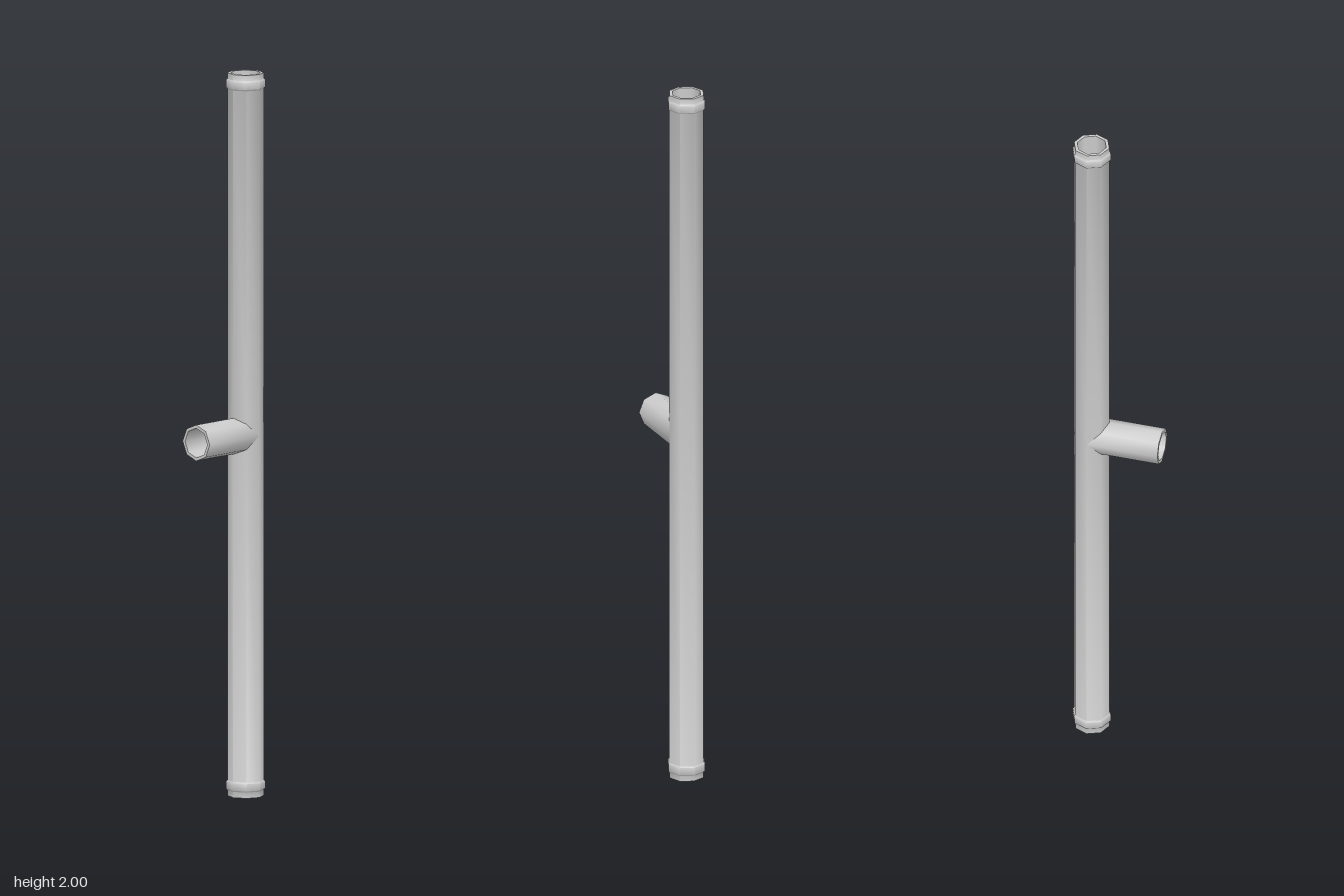
import * as THREE from 'three';
import { mergeGeometries, toCreasedNormals } from 'three/addons/utils/BufferGeometryUtils.js';

const SIDES = 8;
const CX = 0.073;                          // axis of the upright pipe
const MID = 1;                             // height of the branch axis
const OUTER = 0.05, INNER = 0.041, BEAD = 0.054;
const BRANCH_END = -0.127;

// Skin a closed eight-sided loft; point(angle, row) gives each corner.
function loft(rows, point) {
  const position = [];
  const index = [];
  for (let k = 0; k < SIDES; k++) {
    for (let j = 0; j < rows; j++) {
      position.push(...point((k / SIDES) * Math.PI * 2, j));
      if (j === rows - 1) continue;
      const a = k * rows + j;
      const d = ((k + 1) % SIDES) * rows + j;
      index.push(a, a + 1, d + 1, a, d + 1, d);
    }
  }
  const g = new THREE.BufferGeometry();
  g.setAttribute('position', new THREE.Float32BufferAttribute(position, 3));
  g.setIndex(index);
  return g;
}

// Half of the upright pipe: wall profile with a bead near the open end.
// The inner end of each column stops at the opening for the branch.
function halfPipe(top) {
  const profile = [
    [INNER, MID], [INNER, 0], [OUTER, 0],
    [OUTER, 0.016], [BEAD, 0.02], [BEAD, 0.04], [OUTER, 0.044],
    [OUTER, MID],
  ];
  if (top) profile.reverse();
  return loft(profile.length, (t, j) => {
    const [r, h] = profile[j];
    const gap = h === MID ? r * Math.max(0, -Math.cos(t)) : 0;
    const y = h - gap;
    return [CX + r * Math.cos(t), top ? 2 * MID - y : y, r * Math.sin(t)];
  });
}

// Side branch, mitred onto the upright pipe inside and out.
function branchPipe() {
  const profile = [[OUTER, true], [OUTER, false], [INNER, false], [INNER, true]];
  return loft(profile.length, (t, j) => {
    const [r, joint] = profile[j];
    const x = joint ? CX - r * Math.abs(Math.sin(t)) : BRANCH_END;
    return [x, MID - r * Math.sin(t), r * Math.cos(t)];
  });
}

export function createModel() {
  const group = new THREE.Group();
  group.name = 'teePipe';
  const material = new THREE.MeshStandardMaterial({ color: 0xcccccc });
  const add = (name, geometry) => {
    const mesh = new THREE.Mesh(toCreasedNormals(geometry, 0.85), material);
    mesh.name = name;
    group.add(mesh);
  };
  add('uprightPipe', mergeGeometries([halfPipe(false), halfPipe(true)]));
  add('branchPipe', branchPipe());
  return group;
}
